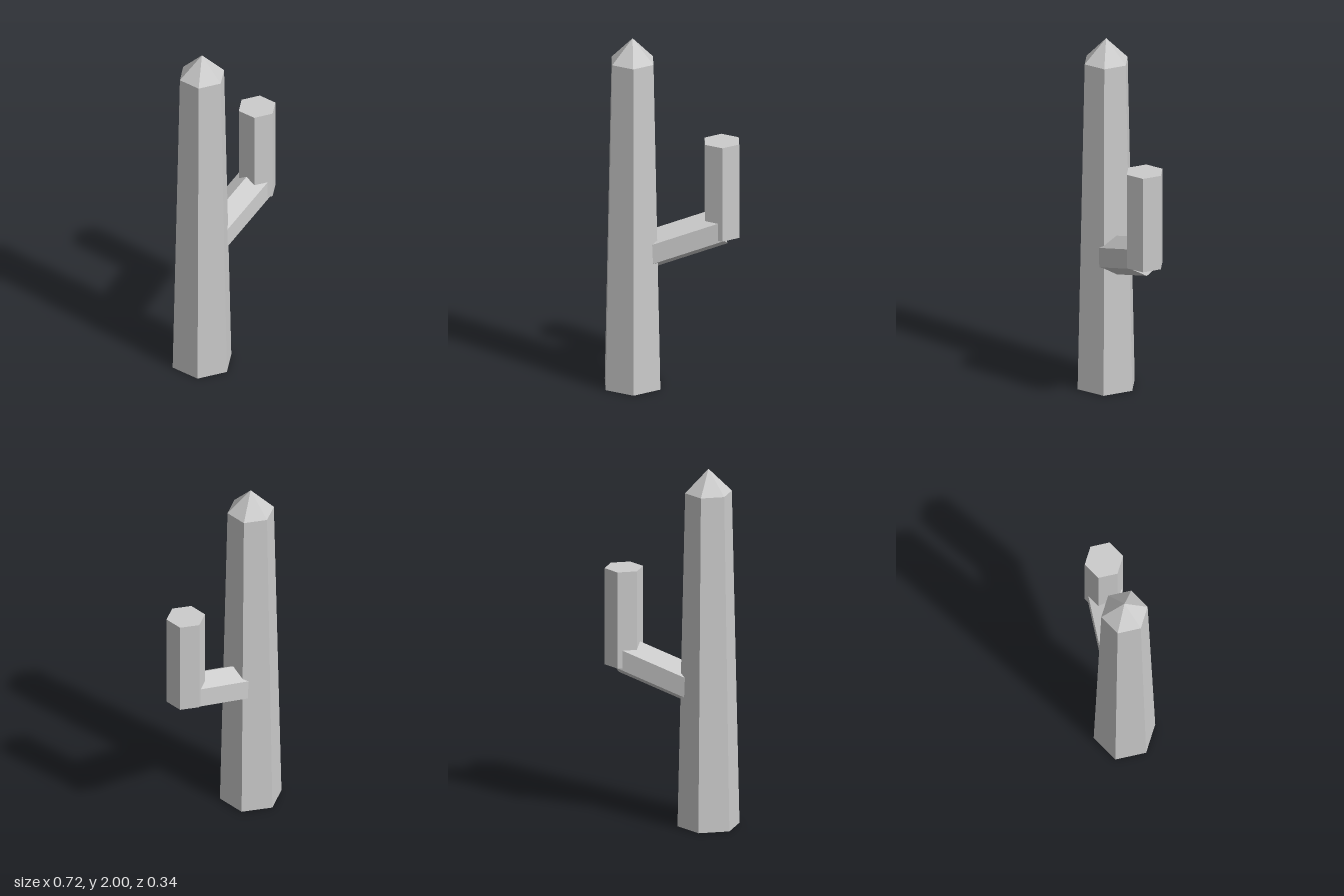
import * as THREE from 'three';

export function createModel() {
  const model = new THREE.Group();
  model.name = 'cactus';
  const grey = new THREE.MeshStandardMaterial({ color: 0xcccccc, flatShading: true });
  grey.name = 'pale grey';

  // Hexagonal prism or taper running from point a to point b
  function hexPart(name, a, b, r0, r1, turn = 0, open = false) {
    const from = new THREE.Vector3(...a), to = new THREE.Vector3(...b);
    const axis = to.clone().sub(from);
    const geometry = new THREE.CylinderGeometry(r1, r0, axis.length(), 6, 1, open, turn);
    const mesh = new THREE.Mesh(geometry, grey);
    mesh.name = name;
    mesh.position.copy(from).add(to).multiplyScalar(0.5);
    mesh.rotation.z = -Math.atan2(axis.x, axis.y);
    model.add(mesh);
  }

  const trunkX = -0.213, armX = 0.267;

  // Tapered trunk and its pointed tip
  hexPart('trunk', [trunkX, 0, 0], [trunkX, 1.87, 0], 0.17, 0.128);
  hexPart('tip', [trunkX, 1.87, 0], [trunkX, 2, 0], 0.128, 0, 0, true);

  // Sloping branch, ridge upwards, and the upright arm at its end
  hexPart('branch', [trunkX, 0.75, 0], [0.263, 0.909, 0], 0.106, 0.106, Math.PI / 6);
  hexPart('uprightArm', [armX, 0.86, 0], [armX, 1.4, 0], 0.106, 0.106);

  return model;
}
